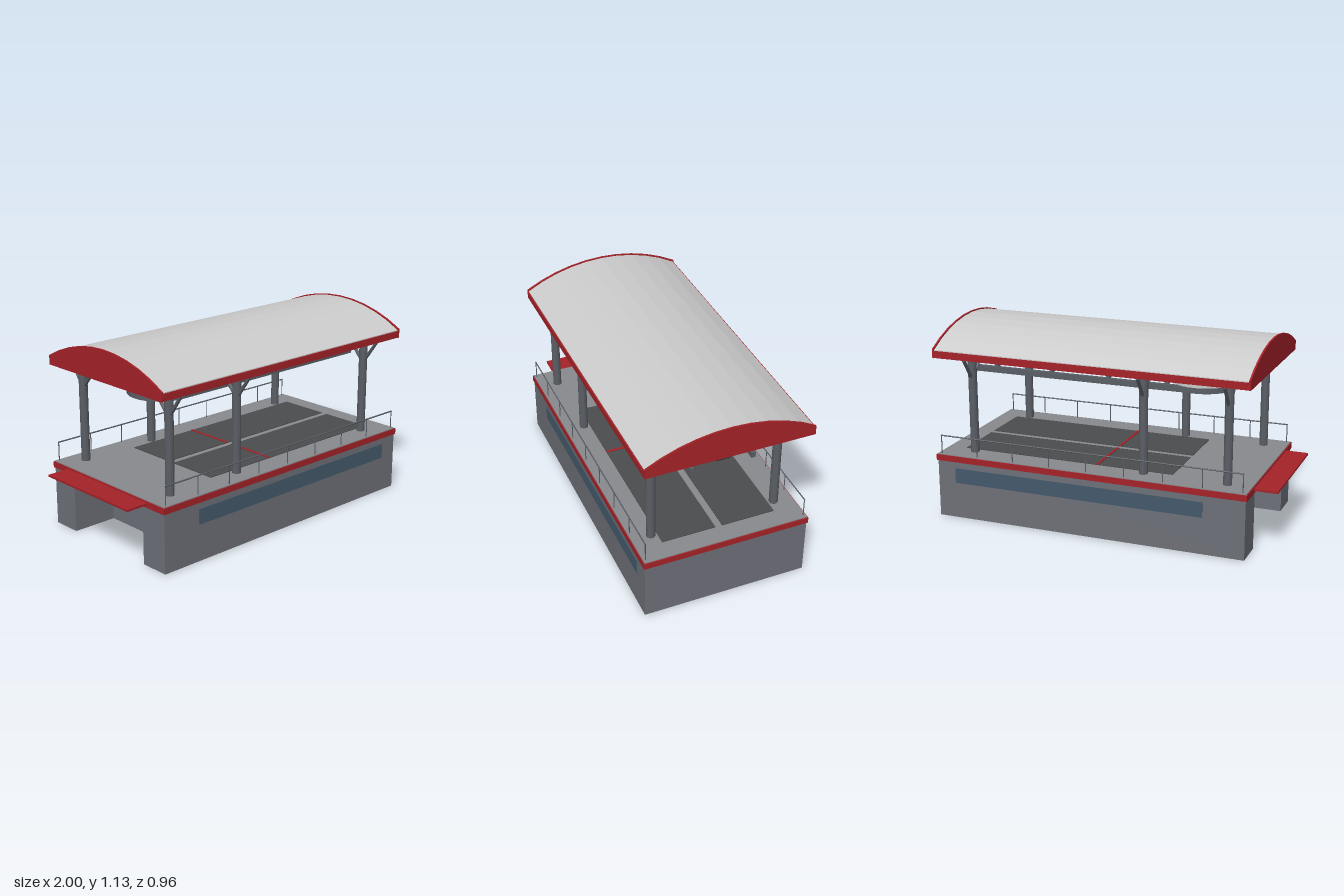
import * as THREE from 'three';

const GREY = 0xcccccc, RED = 0xa52228, WALL = 0x6e7078, STEEL = 0x5a5f66,
  DARK = 0x38393d, MAT = 0x4a4c4e, FLOOR = 0x888a8e, GLASS = 0x455a6c;

const materials = {};
function material(color) {
  return (materials[color] ??= new THREE.MeshStandardMaterial({ color, flatShading: true }));
}

export function createModel() {
  const model = new THREE.Group();

  function add(name, geometry, color, parent = model) {
    const mesh = new THREE.Mesh(geometry, material(color));
    mesh.name = name;
    parent.add(mesh);
    return mesh;
  }
  // box given by its limits on each axis
  function box(name, [x0, x1], [y0, y1], [z0, z1], color, parent) {
    const g = new THREE.BoxGeometry(x1 - x0, y1 - y0, z1 - z0);
    g.translate((x0 + x1) / 2, (y0 + y1) / 2, (z0 + z1) / 2);
    return add(name, g, color, parent);
  }
  // round bar between two points
  function bar(name, a, b, radius, sides, color, parent) {
    const from = new THREE.Vector3(...a), to = new THREE.Vector3(...b);
    const mesh = add(name, new THREE.CylinderGeometry(radius, radius, from.distanceTo(to), sides), color, parent);
    mesh.position.copy(from).add(to).multiplyScalar(0.5);
    mesh.quaternion.setFromUnitVectors(new THREE.Vector3(0, 1, 0), to.sub(from).normalize());
    return mesh;
  }
  // plan outline raised from y0 to y1
  function slab(name, shape, y0, y1, color, parent) {
    const g = new THREE.ExtrudeGeometry(shape, { depth: y1 - y0, bevelEnabled: false, curveSegments: 20 });
    g.rotateX(-Math.PI / 2).translate(0, y0, 0);
    return add(name, g, color, parent);
  }

  // base with a notch in its outgoing end
  const plan = [[-0.86, -0.475], [0.99, -0.475], [0.99, 0.475], [-0.86, 0.475],
    [-0.86, 0.3], [-0.59, 0.3], [-0.59, -0.3], [-0.86, -0.3]];
  slab('base', new THREE.Shape(plan.map(p => new THREE.Vector2(...p))), 0, 0.34, WALL);

  // deck
  box('deckRim', [-0.868, 0.998], [0.34, 0.375], [-0.481, 0.481], RED);
  box('deckFloor', [-0.862, 0.992], [0.37, 0.38], [-0.476, 0.476], FLOOR);
  box('exitPlate', [-1, -0.85], [0.355, 0.367], [-0.345, 0.345], RED);

  for (const s of [-1, 1]) {
    const span = (a, b) => [Math.min(s * a, s * b), Math.max(s * a, s * b)];
    box('window', [-0.62, 0.88], [0.213, 0.302], span(0.47, 0.478), GLASS);
    box('boardingMat', [-0.4, 0.88], [0.378, 0.384], span(0.02, 0.33), MAT);
    box('startLine', [0.043, 0.057], [0.38, 0.388], span(0.02, 0.33), RED);

    // railing
    const railing = new THREE.Group();
    railing.name = 'railing';
    model.add(railing);
    const z = s * 0.463, x0 = -0.84, x1 = 0.97;
    for (let i = 0; i <= 8; i++) {
      const x = x0 + (x1 - x0) * i / 8;
      bar('railingPost', [x, 0.378, z], [x, 0.488, z], 0.003, 6, STEEL, railing);
    }
    bar('handrail', [x0 - 0.003, 0.488, z], [x1 + 0.003, 0.488, z], 0.004, 6, STEEL, railing);

    // columns with forked braces
    for (const x of [-0.725, -0.24, 0.805]) {
      const column = new THREE.Group();
      column.name = 'column';
      model.add(column);
      bar('columnShaft', [x, 0.378, s * 0.365], [x, 0.955, s * 0.365], 0.025, 12, STEEL, column);
      for (const top of [0.245, 0.463])
        bar('brace', [x, 0.81, s * 0.365], [x, 0.95, s * top], 0.01, 8, STEEL, column);
    }
  }

  // vaulted roof section extruded along x
  function vault(name, bottom, half, edge, peak, x0, x1, color) {
    const rise = peak - edge, radius = (half * half + rise * rise) / (2 * rise);
    const angle = Math.asin(half / radius), steps = 10;
    const shape = new THREE.Shape();
    shape.moveTo(-half, bottom);
    shape.lineTo(half, bottom);
    for (let i = 0; i <= steps; i++) {
      const a = angle * (1 - 2 * i / steps);
      shape.lineTo(radius * Math.sin(a), peak - radius + radius * Math.cos(a));
    }
    const g = new THREE.ExtrudeGeometry(shape, { depth: x1 - x0, bevelEnabled: false });
    g.rotateY(Math.PI / 2).translate(x0, 0, 0);
    add(name, g, color);
  }
  vault('roof', 0.952, 0.47, 0.995, 1.122, -0.86, 0.99, GREY);
  vault('roofEnd', 0.948, 0.476, 1.002, 1.128, -0.868, -0.858, RED);
  vault('roofEnd', 0.948, 0.476, 1.002, 1.128, 0.988, 0.998, RED);
  for (const z of [-0.471, 0.471])
    box('roofFascia', [-0.862, 0.992], [0.95, 0.99], [z - 0.006, z + 0.006], RED);

  // drive machinery under the roof
  const wheelX = -0.47;
  box('driveHousing', [-0.65, -0.39], [0.9, 0.955], [-0.09, 0.09], RED);
  add('driveWheel', new THREE.CylinderGeometry(0.2, 0.2, 0.055, 32), GREY).position.set(wheelX, 0.878, 0);
  box('mainBeam', [-0.38, 0.9], [0.853, 0.955], [-0.04, 0.04], DARK);

  // guide rail looping round the wheel
  const loop = new THREE.Shape();
  loop.moveTo(0.9, 0.187);
  loop.lineTo(wheelX, 0.187);
  loop.absarc(wheelX, 0, 0.187, Math.PI / 2, Math.PI * 1.5, false);
  loop.lineTo(0.9, -0.187);
  loop.lineTo(0.9, -0.163);
  loop.lineTo(wheelX, -0.163);
  loop.absarc(wheelX, 0, 0.163, Math.PI * 1.5, Math.PI / 2, true);
  loop.lineTo(0.9, 0.163);
  slab('guideRail', loop, 0.815, 0.85, STEEL);
  for (const x of [-0.3, 0.05, 0.4, 0.75])
    box('crossBar', [x - 0.01, x + 0.01], [0.848, 0.87], [-0.173, 0.173], STEEL);

  return model;
}
